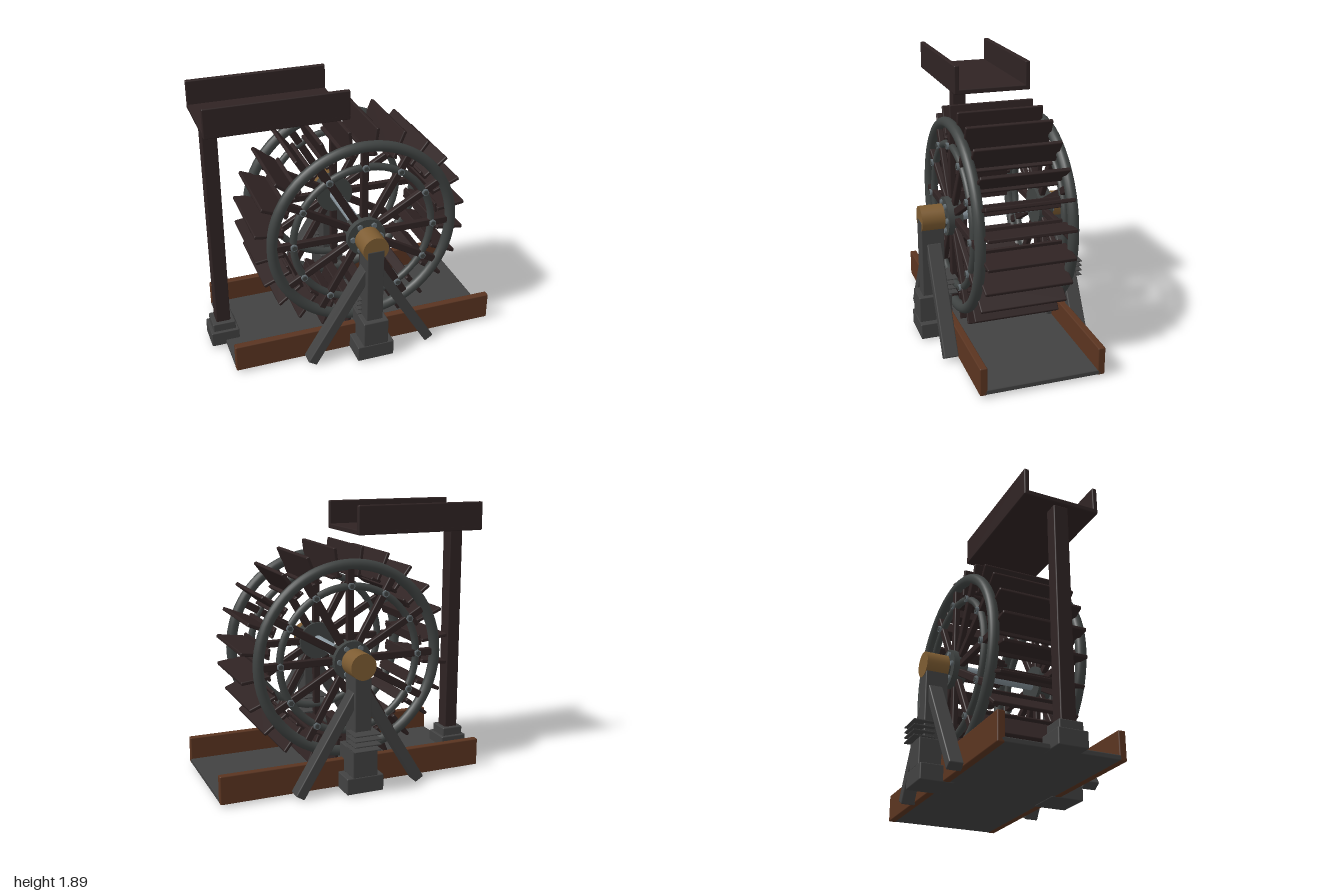
import * as THREE from 'three';
import { RoundedBoxGeometry } from 'three/addons/geometries/RoundedBoxGeometry.js';

function mat(name, color) {
  const m = new THREE.MeshStandardMaterial({ color });
  m.name = name;
  return m;
}

export function createModel() {
  const darkWood = mat('dark wood', 0x2f2323);
  const brownWood = mat('brown wood', 0x5a3420);
  const stone = mat('grey stone', 0x414141);
  const iron = mat('dark iron', 0x3f4342);
  const steel = mat('pale steel', 0x87949c);
  const boltSteel = mat('bolt steel', 0x667075);
  const brass = mat('brass', 0x7d5c32);

  const root = new THREE.Group();
  root.name = 'waterWheel';
  const ZC = 0.015; // middle plane of the machine

  function add(parent, name, geometry, material, x = 0, y = 0, z = 0) {
    const mesh = new THREE.Mesh(geometry, material);
    mesh.name = name;
    mesh.position.set(x, y, z);
    parent.add(mesh);
    return mesh;
  }
  // Softly bevelled block
  function block(parent, name, w, h, d, material, x, y, z) {
    const bevel = Math.min(0.008, Math.min(w, h, d) * 0.3);
    return add(parent, name, new RoundedBoxGeometry(w, h, d, 1, bevel), material, x, y, z);
  }
  // Cylinder lying along z
  function disc(parent, name, r, length, material, x, y, z, sides = 32) {
    const g = new THREE.CylinderGeometry(r, r, length, sides);
    g.rotateX(Math.PI / 2);
    return add(parent, name, g, material, x, y, z);
  }
  function group(name, parent, x = 0, y = 0, z = 0) {
    const g = new THREE.Group();
    g.name = name;
    g.position.set(x, y, z);
    parent.add(g);
    return g;
  }

  // Lower water channel
  const channel = group('channel', root);
  block(channel, 'channelFloor', 1.9, 0.035, 0.8, stone, 0.05, 0.04, ZC - 0.01);
  for (const s of [1, -1]) {
    block(channel, 'channelSide', 1.9, 0.195, 0.05, brownWood, 0.05, 0.1175, ZC - 0.008 + s * 0.4);
  }

  // Upper flume on its post
  const flume = group('flume', root);
  block(flume, 'flumeFloor', 0.945, 0.035, 0.54, darkWood, -0.5025, 1.71, ZC - 0.005);
  for (const s of [1, -1]) {
    block(flume, 'flumeSide', 0.945, 0.195, 0.035, darkWood, -0.5025, 1.7925, ZC - 0.005 + s * 0.252);
  }
  block(flume, 'flumePost', 0.1, 1.53, 0.105, darkWood, -0.9, 0.925, ZC);
  block(flume, 'postFoot', 0.2, 0.11, 0.2, stone, -0.9, 0.075, ZC);
  block(flume, 'postFootStep', 0.16, 0.07, 0.16, stone, -0.9, 0.155, ZC);

  // Wheel
  const wheel = group('wheel', root, 0.05, 0.87, ZC);
  disc(wheel, 'axle', 0.04, 0.94, steel, 0, 0, 0);

  for (const s of [1, -1]) {
    const side = group(s > 0 ? 'frontWheelSide' : 'backWheelSide', wheel, 0, 0, s * 0.315);
    add(side, 'outerRim', new THREE.TorusGeometry(0.643, 0.037, 14, 72), iron);
    add(side, 'innerRim', new THREE.TorusGeometry(0.497, 0.025, 12, 64), iron);
    disc(side, 'hub', 0.135, 0.1, iron, 0, 0, s * 0.01);
    disc(side, 'hubCollar', 0.075, 0.06, iron, 0, 0, s * 0.05);
    // Spokes with a bolt at the inner rim
    for (let i = 0; i < 12; i++) {
      const arm = group('spokeArm', side);
      arm.rotation.z = (i * Math.PI) / 6;
      block(arm, 'spoke', 0.53, 0.052, 0.04, darkWood, 0.355, 0, 0);
      disc(arm, 'rimBolt', 0.025, 0.024, boltSteel, 0.5, 0, s * 0.025, 6);
      disc(arm, 'rimBoltHead', 0.017, 0.01, iron, 0.5, 0, s * 0.036, 6);
    }
    // Hub bolts
    for (let i = 0; i < 6; i++) {
      const a = (i * Math.PI) / 3;
      disc(side, 'hubBolt', 0.02, 0.02, boltSteel, 0.1 * Math.cos(a), 0.1 * Math.sin(a), s * 0.065, 6);
    }
  }

  // Paddles with their sole boards
  for (let i = 0; i < 24; i++) {
    const paddle = group('paddleUnit', wheel);
    paddle.rotation.z = ((i + 0.5) * Math.PI) / 12;
    block(paddle, 'paddle', 0.2, 0.026, 0.6, darkWood, 0.66, 0, 0);
    block(paddle, 'soleBoard', 0.02, 0.075, 0.54, darkWood, 0.56, 0, 0);
  }

  // Bearing supports, the same way round on both sides
  for (const s of [1, -1]) {
    const support = group(s > 0 ? 'frontSupport' : 'backSupport', root, 0.05, 0, ZC + s * 0.47);
    block(support, 'foot', 0.265, 0.115, 0.24, stone, 0, 0.0725, 0);
    block(support, 'footStep', 0.18, 0.19, 0.235, stone, 0, 0.22, 0);
    block(support, 'supportPost', 0.12, 0.6, 0.16, stone, 0, 0.56, 0.003);
    disc(support, 'bearing', 0.09, 0.16, brass, 0, 0.87, 0);
    // Thin stacked plates
    for (let i = 0; i < 4; i++) {
      block(support, 'bandPlate', 0.19, 0.009, 0.15, stone, 0, 0.32 + i * 0.036, -0.085);
    }
    // Sloping braces
    for (const d of [1, -1]) {
      const brace = block(support, 'brace', 0.07, 0.78, 0.1, stone, d * 0.235, 0.352, -0.005);
      brace.rotation.z = d * 0.55;
    }
  }

  return root;
}
